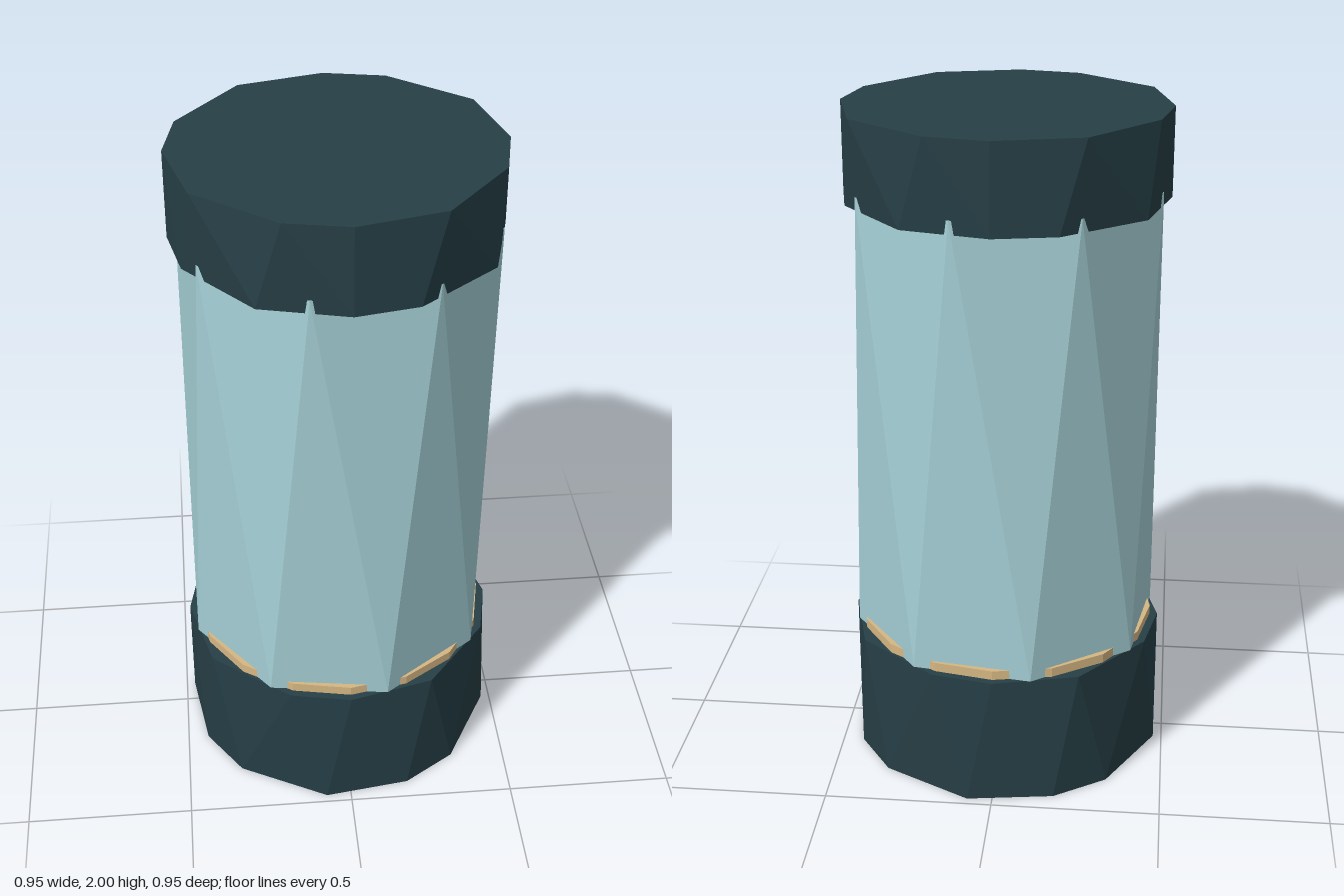
import * as THREE from 'three';
import { ConvexGeometry } from 'three/addons/geometries/ConvexGeometry.js';

const material = (name, color) =>
  Object.assign(new THREE.MeshStandardMaterial({ color, flatShading: true }), { name });

// Ring of points: [degrees, radius] pairs repeated around the axis; 0 degrees faces +z.
function ring(y, pairs, repeats) {
  const points = [];
  for (let k = 0; k < repeats; k++) {
    for (const [degrees, r] of pairs) {
      const a = THREE.MathUtils.degToRad(degrees + (k * 360) / repeats);
      points.push(new THREE.Vector3(r * Math.sin(a), y, r * Math.cos(a)));
    }
  }
  return points;
}

// Faceted solid stretched between two rings of corners.
function facetedSolid(name, lower, upper, mat) {
  const mesh = new THREE.Mesh(new ConvexGeometry([...lower, ...upper]), mat);
  mesh.name = name;
  return mesh;
}

export function createModel() {
  const group = new THREE.Group();
  group.name = 'canister';

  const darkTeal = material('dark teal', 0x263f46);
  const paleGlass = material('pale blue glass', 0xa5d0d6);
  const tan = material('tan', 0xd6b783);

  // Twelve-cornered outlines, unevenly spaced in each quarter turn
  const outlineA = [[0, 0.473], [31.5, 0.48], [67.5, 0.473]];
  const outlineB = [[0, 0.473], [22.5, 0.473], [58.5, 0.48]];
  const outlineC = outlineB.map(([a, r]) => [a + 22.5, r]);

  group.add(
    // Base cup and lid, with slightly twisted sides
    facetedSolid('baseCap', ring(0, outlineC, 4), ring(0.4, outlineA, 4), darkTeal),
    facetedSolid('topCap', ring(1.74, outlineB, 4), ring(2, outlineA, 4), darkTeal),
    // Eight-sided glass body whose upper corners are turned against the lower ones
    facetedSolid('glassBody', ring(0.4, [[14, 0.463]], 8), ring(1.78, [[31, 0.463]], 8), paleGlass),
  );

  // Thin band that shows between the glass corners just above the base
  const band = new THREE.Mesh(new THREE.CylinderGeometry(0.45, 0.45, 0.03, 16), tan);
  band.name = 'baseBand';
  band.position.y = 0.413;
  group.add(band);

  return group;
}
